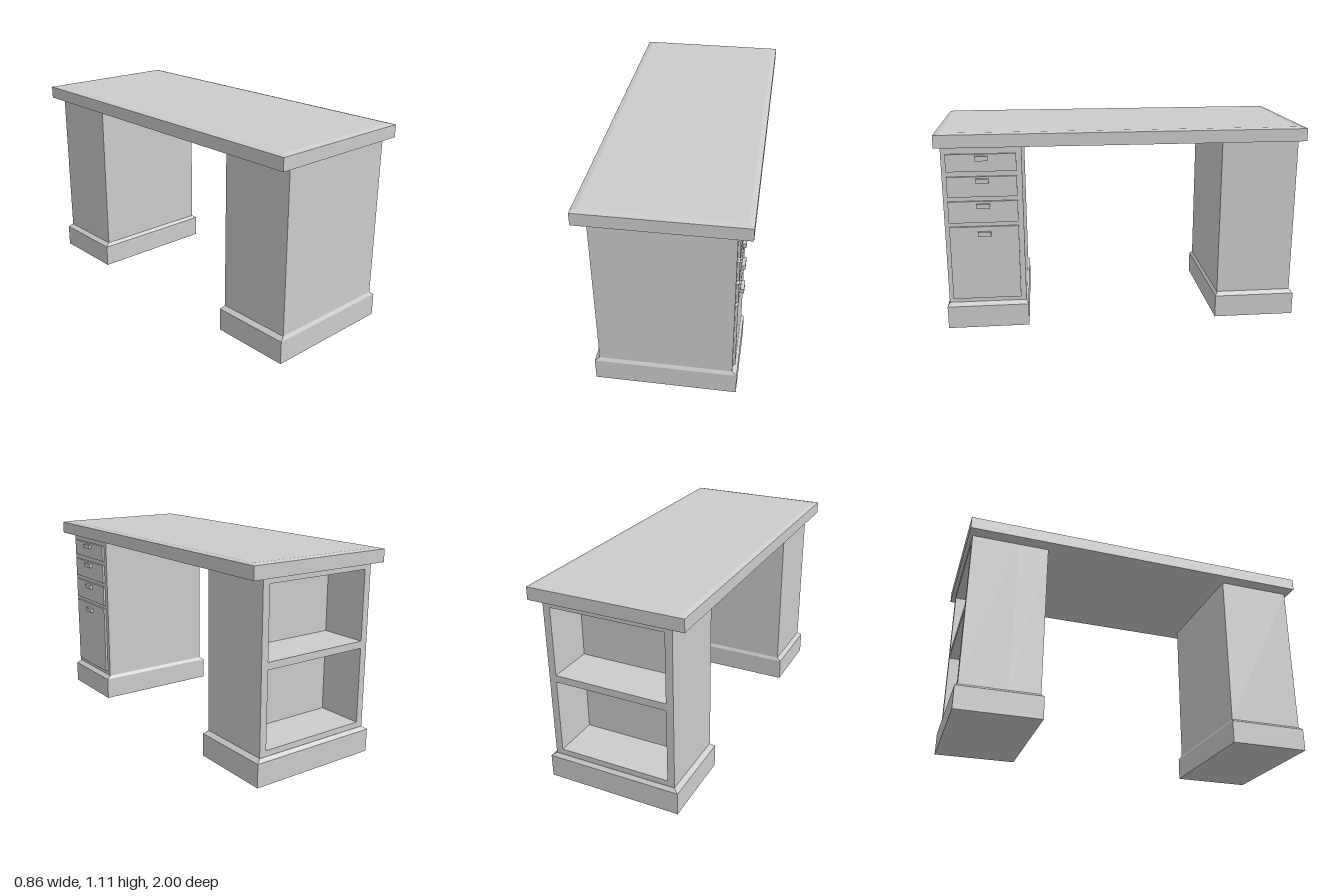
import * as THREE from 'three';

const material = new THREE.MeshStandardMaterial({ color: 0xcccccc });

function add(parent, name, geometry) {
  const mesh = new THREE.Mesh(geometry, material);
  mesh.name = name;
  parent.add(mesh);
  return mesh;
}

// Box given by its limits on each axis
function block(x0, x1, y0, y1, z0, z1) {
  return new THREE.BoxGeometry(x1 - x0, y1 - y0, z1 - z0)
    .translate((x0 + x1) / 2, (y0 + y1) / 2, (z0 + z1) / 2);
}

// Box whose top face is drawn in by dx and dz to make a sloped band
function tapered(x0, x1, y0, y1, z0, z1, dx, dz) {
  const geometry = block(x0, x1, y0, y1, z0, z1);
  const p = geometry.attributes.position;
  for (let i = 0; i < p.count; i++) {
    if (p.getY(i) < (y0 + y1) / 2) continue;
    p.setX(i, p.getX(i) > (x0 + x1) / 2 ? x1 - dx : x0 + dx);
    p.setZ(i, p.getZ(i) > (z0 + z1) / 2 ? z1 - dz : z0 + dz);
  }
  geometry.computeVertexNormals();
  return geometry;
}

function rectangle(target, x0, x1, y0, y1) {
  target.moveTo(x0, y0);
  target.lineTo(x1, y0);
  target.lineTo(x1, y1);
  target.lineTo(x0, y1);
  target.closePath();
  return target;
}

const BODY = 0.355;      // half width of the pedestals
const PLINTH = 0.38;     // half width of the plinths
const PLINTH_TOP = 0.127;
const BODY_BOTTOM = 0.145;
const BODY_TOP = 1.036;

function addPlinth(parent, z0, z1, dz) {
  add(parent, 'plinth', block(-PLINTH, PLINTH, 0, PLINTH_TOP, z0, z1));
  add(parent, 'plinthBevel',
    tapered(-PLINTH, PLINTH, PLINTH_TOP, BODY_BOTTOM, z0, z1, PLINTH - BODY, dz));
}

// Pedestal with four drawers on its +x side
function drawerPedestal() {
  const group = new THREE.Group();
  group.name = 'drawerPedestal';
  addPlinth(group, 0.537, 0.987, 0.011);
  add(group, 'drawerCabinet', block(-BODY, BODY, BODY_BOTTOM, BODY_TOP, 0.548, 0.976));

  const drawers = [[0.895, 0.99], [0.755, 0.867], [0.61, 0.73], [0.17, 0.587]];
  const handleTops = [0.98, 0.857, 0.717, 0.56];
  drawers.forEach(([y0, y1], i) => {
    const top = handleTops[i];
    add(group, 'drawerFront' + (i + 1), block(BODY - 0.005, 0.368, y0, y1, 0.577, 0.952));
    add(group, 'drawerHandle' + (i + 1), block(0.365, 0.386, top - 0.025, top, 0.727, 0.797));
  });
  return group;
}

// Pedestal with two open shelves facing -z
function shelfPedestal() {
  const group = new THREE.Group();
  group.name = 'shelfPedestal';
  addPlinth(group, -0.997, -0.537, 0.016);

  const back = -0.979, depth = 0.26;
  add(group, 'shelfCabinetCore',
    block(-BODY, BODY, BODY_BOTTOM, BODY_TOP, back + depth, -0.55));

  const frame = rectangle(new THREE.Shape(), -BODY, BODY, BODY_BOTTOM, BODY_TOP);
  for (const [y0, y1] of [[0.176, 0.589], [0.628, 1.007]]) {
    frame.holes.push(rectangle(new THREE.Path(), -0.315, 0.315, y0, y1));
  }
  const shelves = new THREE.ExtrudeGeometry(frame, { depth, bevelEnabled: false });
  add(group, 'shelfFrame', shelves.translate(0, 0, back));
  return group;
}

export function createModel() {
  const desk = new THREE.Group();
  desk.name = 'desk';

  // Desktop slab with a shallow bevel around the top
  add(desk, 'desktop', block(-0.428, 0.428, BODY_TOP, 1.105, -1, 1));
  add(desk, 'desktopBevel', tapered(-0.428, 0.428, 1.105, 1.112, -1, 1, 0.028, 0.03));

  desk.add(drawerPedestal(), shelfPedestal());
  return desk;
}
